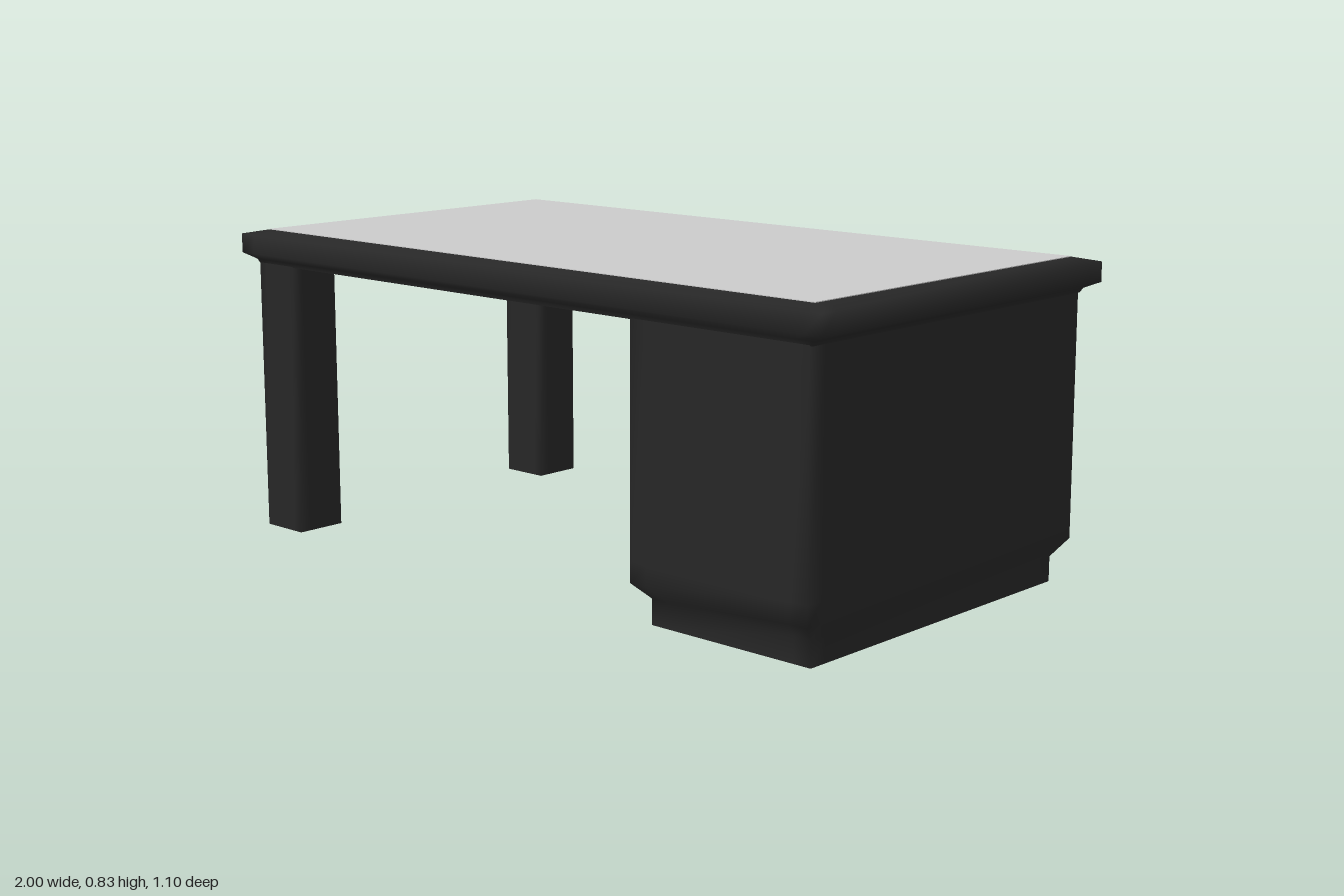
import * as THREE from 'three';

const dark = new THREE.MeshStandardMaterial({ color: 0x272727 });
const grey = new THREE.MeshStandardMaterial({ color: 0xcccccc });

// Rectangular ring of 12 points with supporting points beside each corner
function ring(y, w, d, s) {
  const pts = [];
  [[1, 1], [1, -1], [-1, -1], [-1, 1]].forEach(([sx, sz], k) => {
    const insetX = [sx * (w - s), y, sz * d];
    const insetZ = [sx * w, y, sz * (d - s)];
    const corner = [sx * w, y, sz * d];
    pts.push(...(k % 2 ? [insetZ, corner, insetX] : [insetX, corner, insetZ]));
  });
  return pts;
}

// Smooth-sided rectangular loft; sections are [y, halfWidth, halfDepth], bottom to top
function loft(name, sections, s) {
  const pos = [], idx = [], n = 12;
  sections.forEach(([y, w, d]) => pos.push(...ring(y, w, d, s).flat()));
  for (let j = 0; j < sections.length - 1; j++) {
    for (let i = 0; i < n; i++) {
      const a = j * n + i, b = j * n + (i + 1) % n;
      idx.push(a, b, b + n, a, b + n, a + n);
    }
  }
  // Flat end caps with their own vertices
  [[sections[0], true], [sections[sections.length - 1], false]].forEach(([[y, w, d], down]) => {
    const c = pos.length / 3;
    pos.push(0, y, 0, ...ring(y, w, d, s).flat());
    for (let i = 0; i < n; i++) {
      const a = c + 1 + i, b = c + 1 + (i + 1) % n;
      idx.push(c, ...(down ? [b, a] : [a, b]));
    }
  });
  const geo = new THREE.BufferGeometry();
  geo.setAttribute('position', new THREE.Float32BufferAttribute(pos, 3));
  geo.setIndex(idx);
  geo.computeVertexNormals();
  const mesh = new THREE.Mesh(geo, dark);
  mesh.name = name;
  return mesh;
}

export function createModel() {
  const desk = new THREE.Group();
  desk.name = 'desk';

  // Desktop slab with bevelled rim
  desk.add(loft('desktop', [
    [0.735, 0.955, 0.525], [0.747, 0.962, 0.53], [0.763, 1, 0.55],
    [0.814, 1, 0.55], [0.825, 0.945, 0.503],
  ], 0.05));

  // Inlaid writing surface
  const pad = new THREE.Mesh(new THREE.BoxGeometry(1.884, 0.01, 1.0), grey);
  pad.name = 'writingSurface';
  pad.position.y = 0.822;
  desk.add(pad);

  // Cabinet on one side, stepping in to a plinth
  const cabinet = loft('cabinet', [
    [0, 0.24, 0.478], [0.065, 0.24, 0.478], [0.108, 0.266, 0.526],
    [0.16, 0.266, 0.526], [0.69, 0.264, 0.526], [0.74, 0.264, 0.526],
  ], 0.05);
  cabinet.position.x = 0.686;
  desk.add(cabinet);

  // Two square legs on the other side
  for (const side of [1, -1]) {
    const leg = loft(side > 0 ? 'frontLeg' : 'backLeg', [
      [0.008, 0.07, 0.07], [0.03, 0.07, 0.07], [0.72, 0.07, 0.07], [0.74, 0.07, 0.07],
    ], 0.03);
    leg.position.set(-0.885, 0, side * 0.456);
    desk.add(leg);
  }
  return desk;
}
